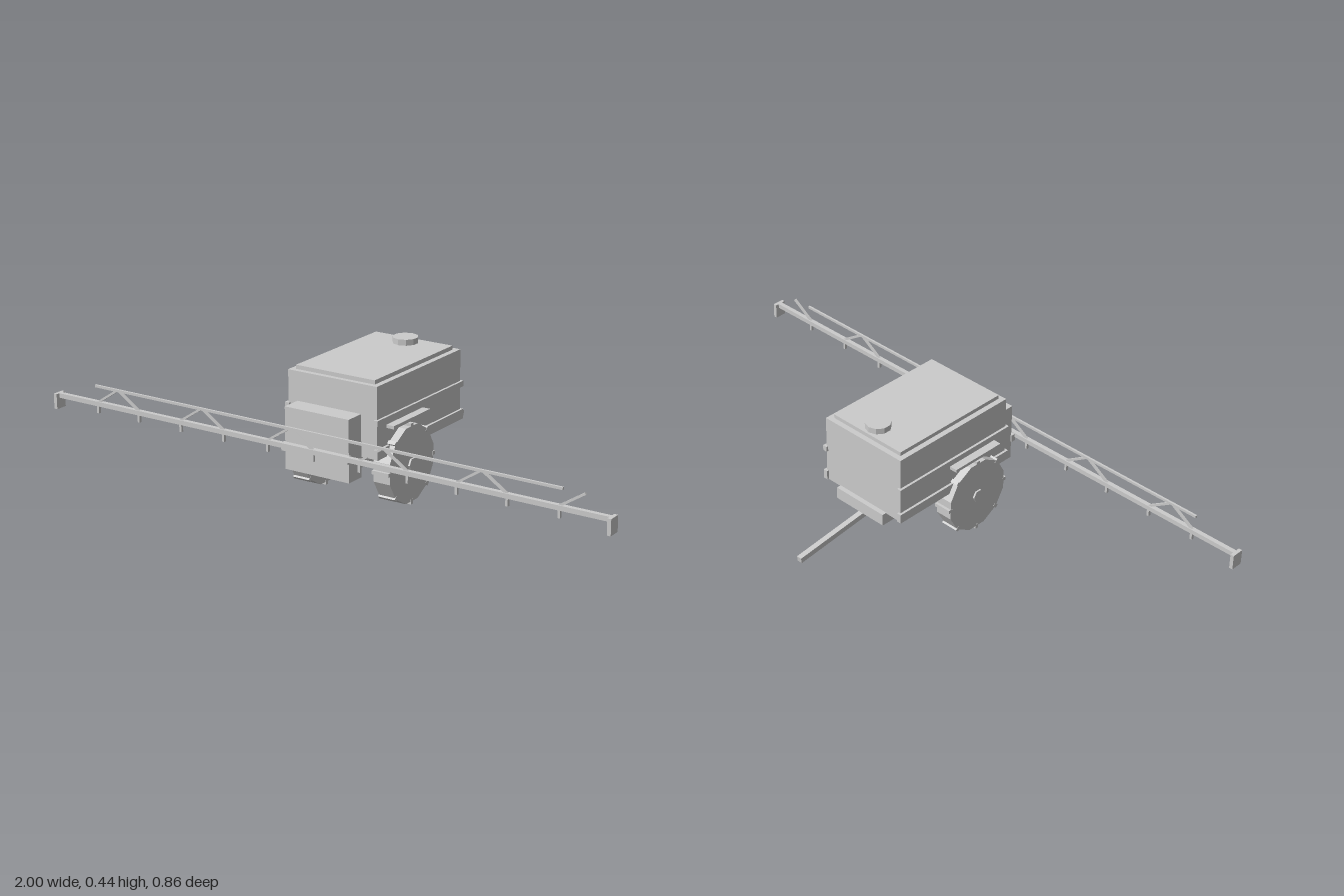
import * as THREE from 'three';

const mat = new THREE.MeshStandardMaterial({ color: 0xcccccc, flatShading: true });

export function createModel() {
  const root = new THREE.Group();
  const add = (name, geo, parent = root) => {
    const m = new THREE.Mesh(geo, mat);
    m.name = name;
    parent.add(m);
    return m;
  };
  // box given by its limits on each axis
  const box = (name, x0, x1, y0, y1, z0, z1, parent) => {
    const m = add(name, new THREE.BoxGeometry(x1 - x0, y1 - y0, z1 - z0), parent);
    m.position.set((x0 + x1) / 2, (y0 + y1) / 2, (z0 + z1) / 2);
    return m;
  };
  // square bar between two points
  const bar = (name, a, b, t, parent) => {
    const p = new THREE.Vector3(...a), q = new THREE.Vector3(...b);
    const m = add(name, new THREE.BoxGeometry(t, t, p.distanceTo(q)), parent);
    m.position.copy(p).add(q).multiplyScalar(0.5);
    m.lookAt(q);
    return m;
  };

  // tank, lid and filler cap
  box('tank', -0.16, 0.16, 0.18, 0.407, -0.154, 0.309);
  box('tankLid', -0.142, 0.142, 0.405, 0.42, -0.136, 0.293);
  add('fillerCap', new THREE.CylinderGeometry(0.041, 0.041, 0.02, 10)).position.set(0, 0.429, -0.088);

  // chassis, drawbar and axle
  box('chassis', -0.1, 0.1, 0.143, 0.183, -0.17, 0.327);
  bar('drawbar', [0, 0.131, -0.154], [0, 0.098, -0.425], 0.018);
  const axle = add('axle', new THREE.CylinderGeometry(0.012, 0.012, 0.28, 8));
  axle.rotation.z = Math.PI / 2;
  axle.position.set(0, 0.13, 0.16);

  // side rails, fenders and wheels
  for (const s of [-1, 1]) {
    const side = (name, x0, x1, ...r) => box(name, Math.min(s * x0, s * x1), Math.max(s * x0, s * x1), ...r);
    side('upperRail', 0.153, 0.168, 0.287, 0.305, -0.161, 0.317);
    side('lowerRail', 0.153, 0.168, 0.182, 0.213, -0.161, 0.317);
    side('fender', 0.13, 0.187, 0.267, 0.277, 0.061, 0.259);

    const wheel = new THREE.Group();
    wheel.name = 'wheel';
    wheel.position.set(s * 0.157, 0.13, 0.16);
    root.add(wheel);
    const tyre = add('tyre', new THREE.CylinderGeometry(0.124, 0.124, 0.058, 12).rotateY(Math.PI / 12), wheel);
    tyre.rotation.z = Math.PI / 2;
    const hub = add('hub', new THREE.CylinderGeometry(0.021, 0.021, 0.07, 6), wheel);
    hub.rotation.z = Math.PI / 2;
    for (let i = 0; i < 8; i++) {
      const a = i * Math.PI / 4;
      const lug = add('treadLug', new THREE.BoxGeometry(0.06, 0.016, 0.012), wheel);
      lug.position.set(0, Math.cos(a) * 0.121, Math.sin(a) * 0.121);
      lug.rotation.x = a;
    }
  }

  // spray boom and its carrier
  box('boomCarrier', -0.115, 0.115, 0.123, 0.32, 0.325, 0.39);
  const boom = new THREE.Group();
  boom.name = 'boom';
  root.add(boom);
  box('boomMount', -0.12, 0.12, 0.185, 0.21, 0.387, 0.404, boom);
  box('mainBeam', -1, 1, 0.198, 0.213, 0.401, 0.416, boom);
  box('topRail', -0.84, 0.84, 0.258, 0.266, 0.405, 0.412, boom);
  for (const s of [-1, 1])
    box('endPlate', s * 0.994 - 0.006, s * 0.994 + 0.006, 0.163, 0.213, 0.389, 0.429, boom);
  for (let i = 0; i < 11; i++) {
    const x = -0.83 + i * 0.166;
    box('nozzle', x - 0.004, x + 0.004, 0.174, 0.2, 0.404, 0.413, boom);
    // every second bay starts a rising brace, the next one ends its mirror
    const lean = i % 2 ? -0.08 : 0.08;
    bar('brace', [x, 0.21, 0.4085], [x + lean, 0.262, 0.4085], 0.007, boom);
  }
  return root;
}
